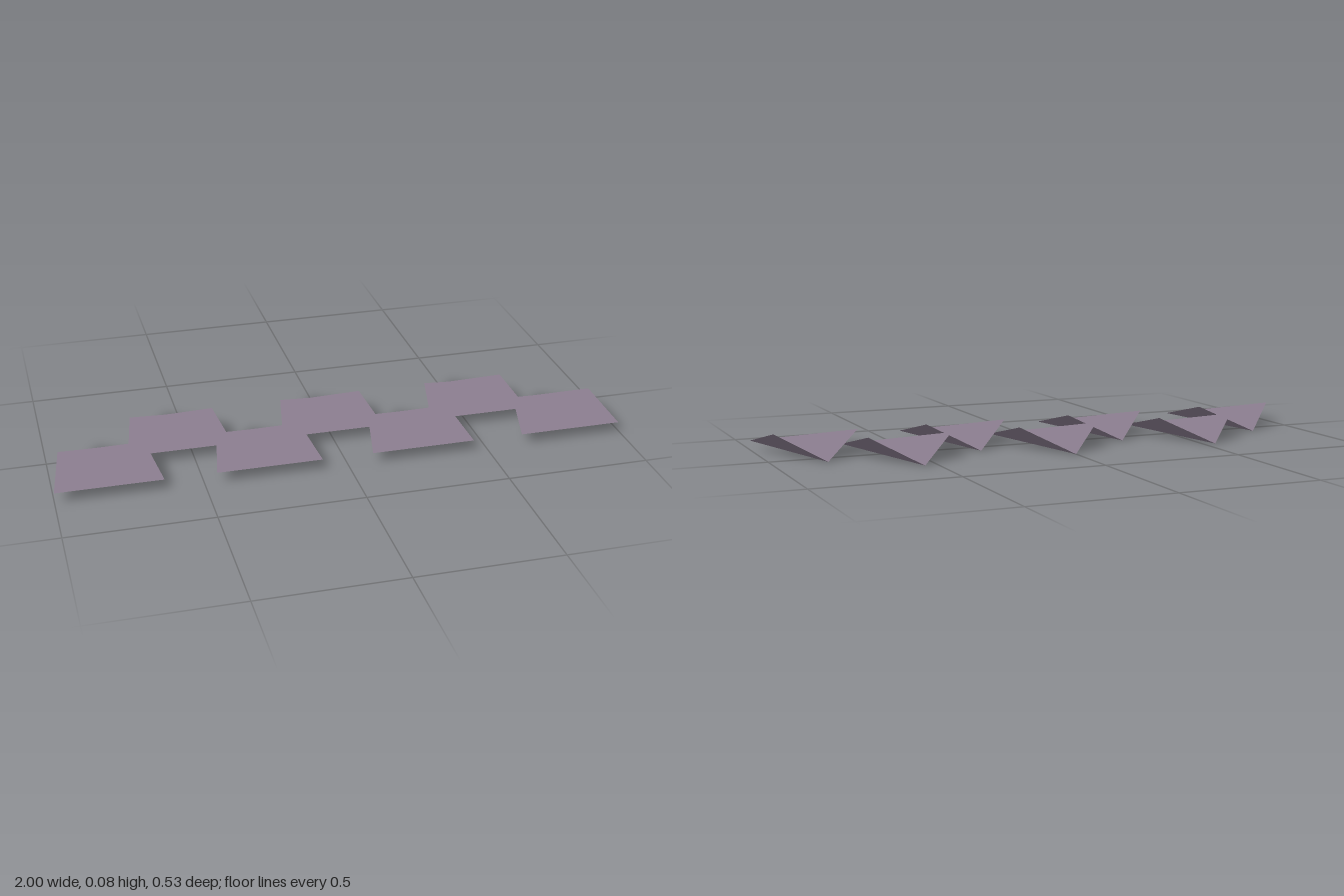
import * as THREE from 'three';

// One folded shingle: five corners, fanned from the front right corner.
function tileGeometry() {
  const g = new THREE.BufferGeometry();
  g.setAttribute('position', new THREE.Float32BufferAttribute([
    0.183, 0.032, 0.267,   // front, right-hand corner
    0.147, 0.08, 0.073,    // raised shoulder
    0, 0, -0.075,          // low rear tip
    -0.147, 0.08, 0.073,   // raised shoulder
    -0.183, 0.032, 0.267,  // front, left-hand corner
  ], 3));
  // Upward normals make the folded sheet shade evenly
  const normals = Array.from({ length: 5 }, () => [0, 1, 0]).flat();
  g.setAttribute('normal', new THREE.Float32BufferAttribute(normals, 3));
  g.setIndex([0, 1, 2, 0, 2, 3, 0, 3, 4]);
  return g;
}

export function createModel() {
  const model = new THREE.Group();
  model.name = 'roofTiles';
  const slate = new THREE.MeshStandardMaterial({ color: 0x8b7d8f, side: THREE.DoubleSide });
  slate.name = 'mauve slate';
  const geometry = tileGeometry();
  const pitch = 0.544;

  // Rows are staggered by half a tile spacing
  const rows = [
    { name: 'frontTile', count: 4, z: 0 },
    { name: 'rearTile', count: 3, z: -0.193 },
  ];
  for (const { name, count, z } of rows) {
    for (let i = 0; i < count; i++) {
      const tile = new THREE.Mesh(geometry, slate);
      tile.name = name + (i + 1);
      tile.position.set((i - (count - 1) / 2) * pitch, 0, z);
      model.add(tile);
    }
  }
  return model;
}
